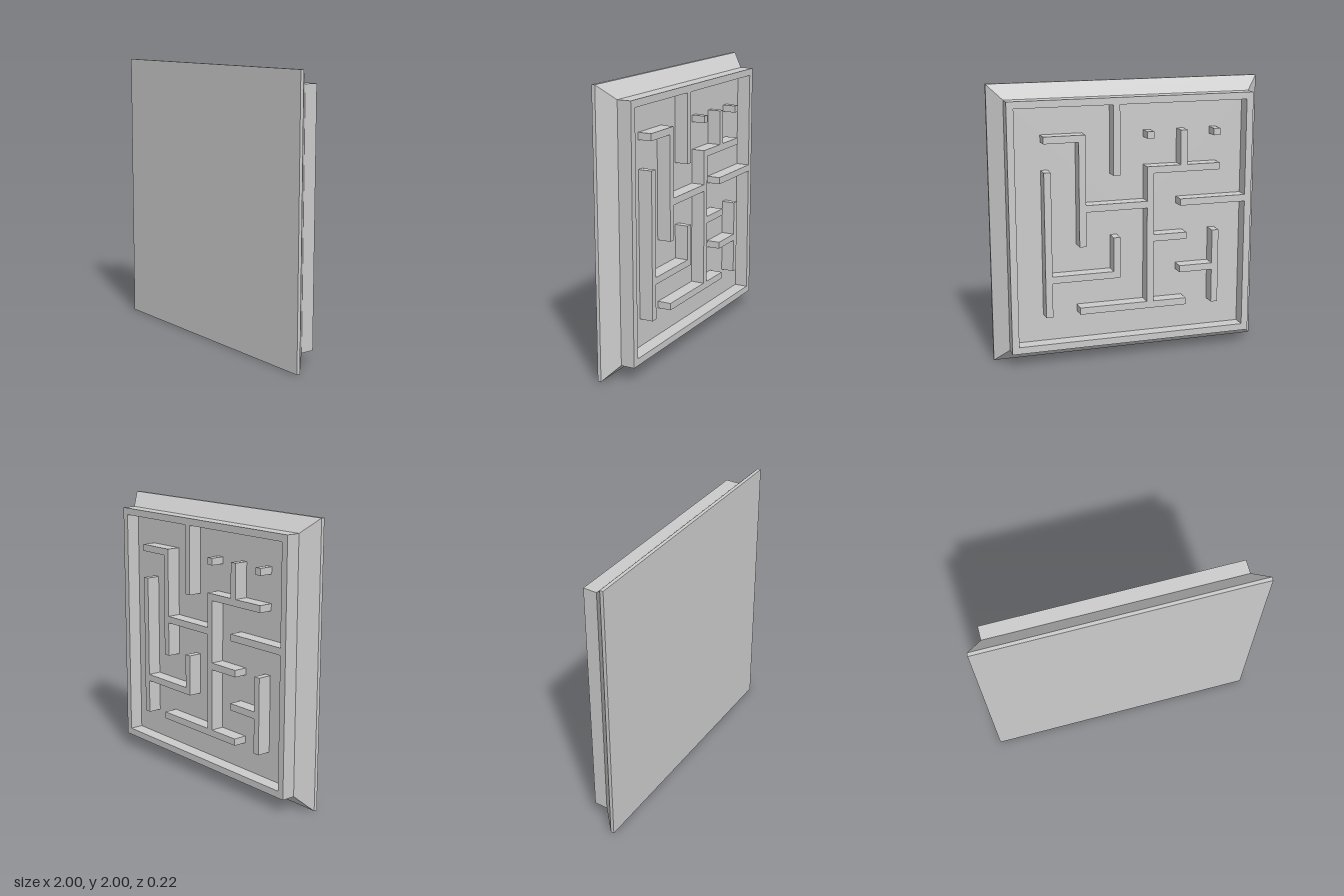
import * as THREE from 'three';

const material = new THREE.MeshStandardMaterial({ color: 0xcccccc, flatShading: true });
const PITCH = 0.25, WALL = 0.05, DEPTH = 0.1;
const FLOOR_Z = -0.0125; // maze floor; walls rise from here towards -z

// Maze walls as [column, row, column, row] on an 8 x 8 grid of nodes,
// counted from the upper left corner as seen from the back
const WALLS = [
  [1, 2, 1, 6], [1, 1, 2, 1], [2, 1, 2, 4], [2, 3, 4, 3],
  [3, 0, 3, 2], [4, 1, 4, 1], [6, 1, 6, 1], [5, 1, 5, 2],
  [4, 2, 6, 2], [4, 2, 4, 6], [5, 3, 7, 3], [4, 4, 5, 4],
  [1, 5, 3, 5], [3, 4, 3, 5], [2, 6, 5, 6], [6, 4, 6, 6], [5, 5, 6, 5],
];

function square(half, Type) {
  return new Type([[-half, -half], [half, -half], [half, half], [-half, half]]
    .map(([x, y]) => new THREE.Vector2(x, y)));
}

function add(parent, name, geometry, x, y, z) {
  const mesh = new THREE.Mesh(geometry, material);
  mesh.name = name;
  mesh.position.set(x, y, z);
  parent.add(mesh);
  return mesh;
}

export function createModel() {
  const model = new THREE.Group();
  model.name = 'mazePanel';

  // Flat front plate
  add(model, 'frontPlate', new THREE.BoxGeometry(2, 2, 0.025), 0, 1, 0.1);

  // Bevelled base, narrowing towards the back; its back cap is the maze floor
  const bevel = new THREE.CylinderGeometry(Math.SQRT2, 0.9 * Math.SQRT2, 0.1, 4);
  bevel.rotateY(Math.PI / 4).rotateX(Math.PI / 2);
  add(model, 'bevelledBase', bevel, 0, 1, 0.0375);

  // Outer rim around the maze
  const rim = square(0.9, THREE.Shape);
  rim.holes.push(square(0.9 - WALL, THREE.Path));
  add(model, 'outerRim',
    new THREE.ExtrudeGeometry(rim, { depth: DEPTH, bevelEnabled: false }),
    0, 1, FLOOR_Z - DEPTH);

  // Inner walls and posts
  const maze = new THREE.Group();
  maze.name = 'mazeWalls';
  for (const [c0, r0, c1, r1] of WALLS) {
    const geometry = new THREE.BoxGeometry(
      (c1 - c0) * PITCH + WALL, (r1 - r0) * PITCH + WALL, DEPTH);
    add(maze, c0 === c1 && r0 === r1 ? 'post' : 'wall', geometry,
      0.875 - PITCH * (c0 + c1) / 2,
      1.875 - PITCH * (r0 + r1) / 2,
      FLOOR_Z - DEPTH / 2);
  }
  model.add(maze);

  return model;
}
